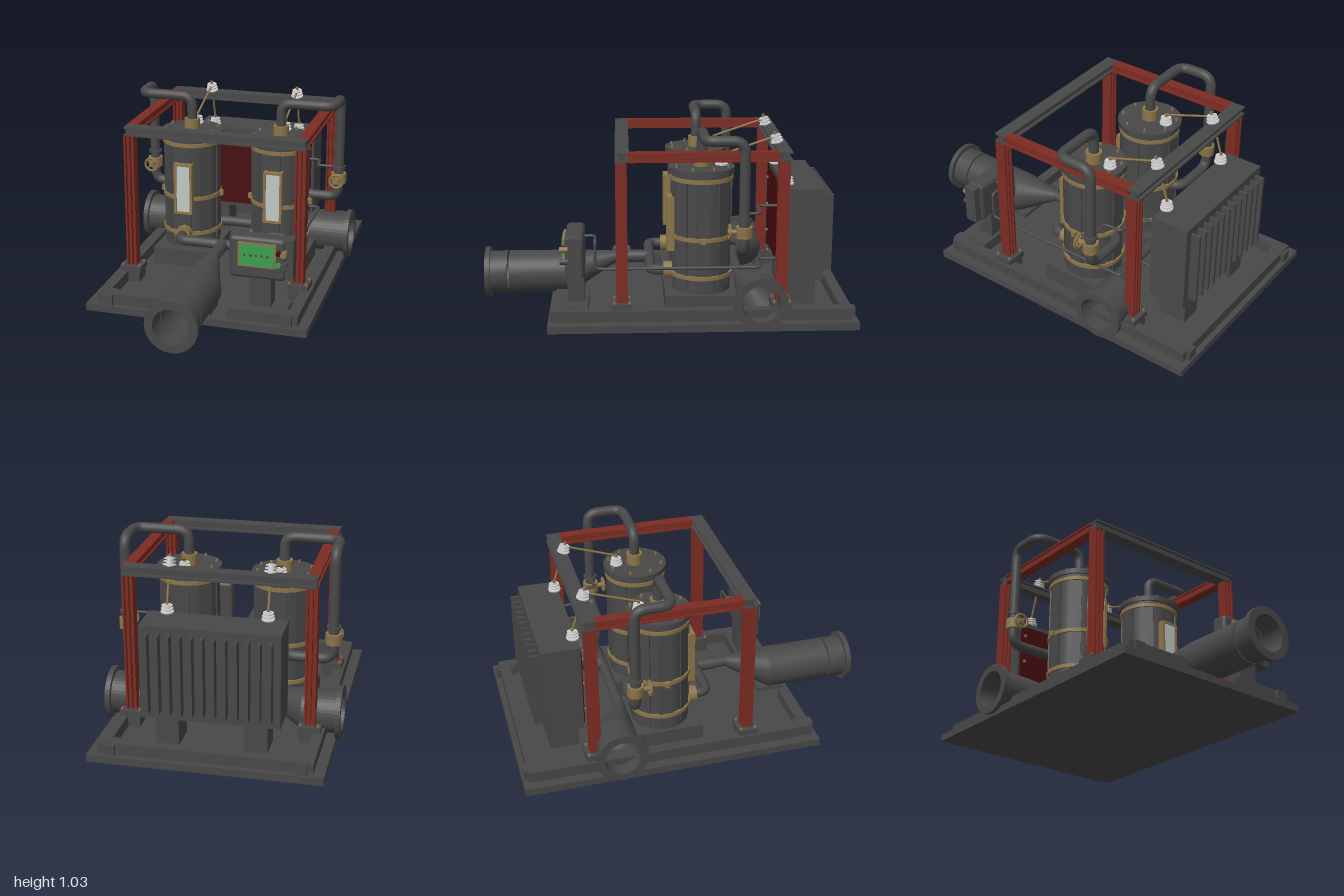
import * as THREE from 'three';
import { toCreasedNormals } from 'three/addons/utils/BufferGeometryUtils.js';
import { RoundedBoxGeometry } from 'three/addons/geometries/RoundedBoxGeometry.js';

const V = (x, y, z) => new THREE.Vector3(x, y, z);

export function createModel() {
  const root = new THREE.Group();
  root.name = 'filterSkid';
  const material = (name, color, side = THREE.FrontSide) => {
    const m = new THREE.MeshStandardMaterial({ color, side });
    m.name = name;
    return m;
  };
  const iron = material('darkIron', 0x484848, THREE.DoubleSide);
  const brass = material('brass', 0x8c7448);
  const red = material('redPaint', 0x7d2c22);
  const maroon = material('maroonPanel', 0x480d0f);
  const green = material('greenScreen', 0x3da04f);
  const glass = material('paleGlass', 0xbfc8c5);
  const white = material('porcelain', 0xcfcfcf);

  const add = (name, geo, mat, x = 0, y = 0, z = 0, parent = root) => {
    const m = new THREE.Mesh(geo, mat);
    m.name = name;
    m.position.set(x, y, z);
    parent.add(m);
    return m;
  };
  // box given by its limits
  const box = (name, mat, x0, x1, y0, y1, z0, z1, parent) =>
    add(name, new THREE.BoxGeometry(Math.abs(x1 - x0), y1 - y0, z1 - z0), mat,
      (x0 + x1) / 2, (y0 + y1) / 2, (z0 + z1) / 2, parent);
  // upright cylinder between two heights
  const cyl = (name, mat, r, y0, y1, x, z, sides = 32, parent) =>
    add(name, new THREE.CylinderGeometry(r, r, y1 - y0, sides), mat, x, (y0 + y1) / 2, z, parent);
  // cylinder along z
  const disc = (name, mat, r, z0, z1, x, y, sides = 24, parent) =>
    add(name, new THREE.CylinderGeometry(r, r, z1 - z0, sides).rotateX(Math.PI / 2), mat, x, y, (z0 + z1) / 2, parent);
  // tube along straight runs with rounded bends
  const pipe = (name, mat, pts, r, bend, parent) => {
    const path = new THREE.CurvePath();
    let from = pts[0];
    for (let i = 1; i < pts.length; i++) {
      const p = pts[i];
      if (i === pts.length - 1) { path.add(new THREE.LineCurve3(from, p)); break; }
      const a = p.clone().add(pts[i - 1].clone().sub(p).setLength(bend));
      const b = p.clone().add(pts[i + 1].clone().sub(p).setLength(bend));
      path.add(new THREE.LineCurve3(from, a));
      path.add(new THREE.QuadraticBezierCurve3(a, p, b));
      from = b;
    }
    return add(name, new THREE.TubeGeometry(path, pts.length * 24, r, 16), mat, 0, 0, 0, parent);
  };
  const lathe = (pts) => toCreasedNormals(
    new THREE.LatheGeometry(pts.map(p => new THREE.Vector2(...p)), 40), 0.5);
  // moves vertices by a rule
  const warp = (geo, rule) => {
    const p = geo.attributes.position, v = V(0, 0, 0);
    for (let i = 0; i < p.count; i++) {
      rule(v.fromBufferAttribute(p, i));
      p.setXYZ(i, v.x, v.y, v.z);
    }
    geo.computeVertexNormals();
    return geo;
  };

  // base plate with raised rim
  box('basePlate', iron, -0.605, 0.605, 0, 0.04, -1, 0.63);
  box('rearRim', iron, -0.55, 0.55, 0.04, 0.1, -0.97, -0.91);
  for (const s of [-1, 1]) {
    box('sideRim', iron, s * 0.49, s * 0.55, 0.04, 0.1, -0.91, 0.54);
    box('frontRim', iron, s * 0.17, s * 0.55, 0.04, 0.1, 0.54, 0.6);
    for (const z of [-0.94, 0.57]) box('rimCorner', iron, s * 0.46, s * 0.52, 0.04, 0.095, z - 0.05, z + 0.05);
  }

  // portal frame: H posts on pads, red side beams, dark cross beams
  for (const s of [-1, 1]) {
    for (const z of [0.24, -0.6]) {
      const post = new THREE.Group();
      post.name = 'post';
      post.position.set(s * 0.475, 0, z);
      root.add(post);
      for (const x of [-0.024, 0, 0.024])
        box('postFlange', red, x - 0.005, x + 0.005, 0.13, 0.88, -0.03, 0.03, post);
      box('postWeb', red, -0.024, 0.024, 0.13, 0.88, -0.006, 0.006, post);
      box('postPad', iron, -0.06, 0.06, 0.1, 0.13, -0.055, 0.055, post);
      box('postFoot', iron, -0.05, 0.05, 0.04, 0.1, -0.05, 0.05, post);
      for (const a of [-0.047, 0.047]) for (const b of [-0.04, 0.04])
        cyl('padBolt', brass, 0.007, 0.13, 0.14, a, b, 6, post);
    }
    for (const y of [0.88, 0.92]) box('sideBeamFlange', red, s * 0.445, s * 0.503, y, y + 0.01, -0.575, 0.205);
    box('sideBeamWeb', red, s * 0.455, s * 0.493, 0.89, 0.92, -0.575, 0.205);
  }
  for (const z of [0.235, -0.605]) {
    for (const y of [0.88, 0.92]) box('crossBeamFlange', iron, -0.5, 0.5, y, y + 0.01, z - 0.037, z + 0.037);
    box('crossBeamWeb', iron, -0.495, 0.495, 0.89, 0.92, z - 0.02, z + 0.02);
  }

  // ribbed porcelain insulator with brass tip, standing at a point
  const insulator = (x, y, z, tilt = 0) => {
    const g = new THREE.Group();
    g.name = 'insulator';
    g.position.set(x, y, z);
    g.rotation.x = tilt;
    root.add(g);
    cyl('insulatorCore', white, 0.016, 0, 0.05, 0, 0, 16, g);
    for (let i = 0; i < 3; i++) cyl('insulatorDisc', white, 0.034 - i * 0.003, 0.006 + i * 0.016, 0.013 + i * 0.016, 0, 0, 24, g);
    cyl('insulatorTip', brass, 0.008, 0.05, 0.065, 0, 0, 10, g);
  };

  for (const s of [-1, 1]) {
    // filter tank
    const tank = new THREE.Group();
    tank.name = 'tank';
    tank.position.set(s * 0.26, 0, -0.19);
    root.add(tank);
    box('tankPlinth', iron, -0.175, 0.175, 0.04, 0.14, -0.18, 0.2, tank);
    cyl('tankBody', iron, 0.156, 0.14, 0.79, 0, 0, 48, tank);
    for (let i = 0; i < 8; i++) {
      const a = i * Math.PI / 4;
      const stave = add('tankStave', new THREE.BoxGeometry(0.075, 0.6, 0.02), iron,
        Math.sin(a) * 0.149, 0.47, Math.cos(a) * 0.149, tank);
      stave.rotation.y = a;
      const b = a + Math.PI / 8;
      cyl('lidBolt', brass, 0.007, 0.81, 0.828, Math.sin(b) * 0.148, Math.cos(b) * 0.148, 6, tank);
    }
    for (const y of [0.22, 0.43, 0.745]) cyl('tankBand', brass, 0.169, y, y + 0.021, 0, 0, 48, tank);
    for (const x of [-0.173, 0.173]) box('bandClip', brass, x - 0.012, x + 0.012, 0.425, 0.455, -0.012, 0.012, tank);
    cyl('tankLid', iron, 0.165, 0.768, 0.785, 0, 0, 48, tank);
    cyl('tankLidRim', iron, 0.175, 0.782, 0.812, 0, 0, 48, tank);
    cyl('lidNozzle', brass, 0.044, 0.812, 0.872, 0, 0, 24, tank);

    // sight glass in a brass frame
    for (const x of [-0.046, 0.046]) box('glassFrameSide', brass, x - 0.007, x + 0.007, 0.355, 0.652, 0.14, 0.188, tank);
    for (const y of [0.355, 0.639]) box('glassFrameEnd', brass, -0.046, 0.046, y, y + 0.013, 0.14, 0.188, tank);
    box('glassBacking', iron, -0.04, 0.04, 0.365, 0.64, 0.13, 0.174, tank);
    box('sightGlass', glass, -0.04, 0.04, 0.367, 0.64, 0.174, 0.181, tank);

    // overhead pipe from lid, down through the valve and back into the tank
    pipe('overheadPipe', iron, [V(s * 0.26, 0.86, -0.19), V(s * 0.26, 1, -0.19), V(s * 0.557, 1, -0.19),
      V(s * 0.557, 1, -0.39), V(s * 0.557, 0.41, -0.39), V(s * 0.3, 0.41, -0.39), V(s * 0.27, 0.41, -0.31)], 0.028, 0.065);
    cyl('pipeClamp', iron, 0.038, 0.583, 0.597, s * 0.557, -0.39, 24);
    cyl('valveBody', brass, 0.045, 0.497, 0.555, s * 0.557, -0.39, 8);
    disc('valveStem', brass, 0.014, -0.37, -0.305, s * 0.557, 0.526, 12);
    const wheel = add('valveWheel', new THREE.TorusGeometry(0.038, 0.007, 8, 28), brass, s * 0.557, 0.526, -0.315);
    for (let i = 0; i < 2; i++) {
      const spoke = add('wheelSpoke', new THREE.BoxGeometry(0.074, 0.009, 0.007), brass, 0, 0, 0, wheel);
      spoke.rotation.z = Math.PI / 4 + i * Math.PI / 2;
    }

    // wide side inlet narrowing off-centre to the rear header
    const inlet = lathe([[0.028, 0.2], [0.113, 0.42], [0.115, 0.6], [0.14, 0.6], [0.14, 0.628],
      [0.1, 0.628], [0.097, 0.42], [0.015, 0.22]]);
    inlet.rotateZ(-s * Math.PI / 2);
    warp(inlet, v => {
      const k = Math.max(0, (0.42 - Math.abs(v.x)) / 0.22);
      v.y += 0.155 + k * 0.03;
      v.z += -0.48 + k * 0.08;
    });
    add('sideInlet', inlet, iron);

    // front union joining outlet pipe to tank
    disc('unionNut', brass, 0.047, -0.04, 0.015, s * 0.26, 0.235, 8);

    // insulators and brass conductors
    insulator(s * 0.26, 0.81, -0.295);
    insulator(s * 0.26, 0.93, -0.59, 0.25);
    insulator(s * 0.26, 0.7, -0.65);
    pipe('tankConductor', brass, [V(s * 0.26, 0.87, -0.295), V(s * 0.26, 0.965, -0.575)], 0.006, 0.01);
    pipe('radiatorConductor', brass, [V(s * 0.26, 0.75, -0.65), V(s * 0.26, 0.96, -0.585)], 0.006, 0.01);
  }
  pipe('rearHeader', iron, [V(-0.22, 0.185, -0.4), V(0.22, 0.185, -0.4)], 0.028, 0.01);

  // outlet: manifold, off-centre reducer, open flanged pipe with a narrow joint
  pipe('outletManifold', iron, [V(-0.26, 0.235, -0.03), V(-0.26, 0.235, 0.085), V(0.26, 0.235, 0.085), V(0.26, 0.235, -0.03)], 0.028, 0.05);
  pipe('outletStem', iron, [V(0, 0.235, 0.085), V(0, 0.235, 0.29)], 0.03, 0.01);
  disc('stemCollar', iron, 0.035, 0.1, 0.2, 0, 0.235);
  const reducer = new THREE.CylinderGeometry(0.117, 0.033, 0.25, 40, 1, true).rotateX(Math.PI / 2);
  add('outletReducer', warp(reducer, v => {
    v.y += v.z < 0 ? 0.235 : 0.153;
    v.z += 0.395;
  }), iron);
  const barrel = (name, pts) => add(name, lathe(pts).rotateX(Math.PI / 2), iron, 0, 0.153, 0);
  barrel('outletBarrel', [[0.097, 0.51], [0.117, 0.51], [0.117, 0.868], [0.097, 0.868], [0.097, 0.51]]);
  barrel('outletFlange', [[0.097, 0.877], [0.117, 0.877], [0.117, 0.972], [0.14, 0.972], [0.14, 1], [0.097, 1], [0.097, 0.877]]);
  box('outletCradle', iron, -0.08, 0.08, 0.04, 0.06, 0.45, 0.6);

  // finned radiator with maroon front panel
  box('radiatorBody', iron, -0.36, 0.36, 0.2, 0.7, -0.84, -0.63);
  box('radiatorPanel', maroon, -0.345, 0.345, 0.22, 0.67, -0.63, -0.622);
  for (let i = 0; i < 12; i++) {
    const x = -0.314 + i * 0.057;
    box('radiatorFin', iron, x - 0.008, x + 0.008, 0.245, 0.665, -0.89, -0.84);
  }
  for (const s of [-1, 1]) {
    box('radiatorLeg', iron, s * 0.17, s * 0.29, 0.04, 0.2, -0.81, -0.65);
    for (const y of [0.29, 0.45, 0.61]) disc('panelBolt', brass, 0.009, -0.625, -0.612, s * 0.32, y, 8);
  }

  // control box on its pedestal
  box('pedestalFoot', iron, 0.2, 0.48, 0.04, 0.1, 0.42, 0.54);
  box('pedestal', iron, 0.275, 0.39, 0.1, 0.26, 0.44, 0.53);
  add('controlBox', new RoundedBoxGeometry(0.3, 0.232, 0.1, 3, 0.024), iron, 0.313, 0.367, 0.487);
  box('controlSideBox', iron, 0.455, 0.503, 0.262, 0.48, 0.45, 0.52);
  box('screenBezel', brass, 0.215, 0.418, 0.325, 0.457, 0.53, 0.549);
  box('screen', green, 0.224, 0.409, 0.334, 0.448, 0.549, 0.555);
  for (let i = 0; i < 5; i++) box('screenMark', iron, 0.248 + i * 0.03, 0.26 + i * 0.03, 0.387, 0.397, 0.555, 0.558);
  disc('brassKnob', brass, 0.016, 0.52, 0.565, 0.458, 0.411);
  disc('darkKnob', iron, 0.016, 0.52, 0.565, 0.458, 0.346);
  disc('redLamp', maroon, 0.014, 0.52, 0.55, 0.43, 0.411);
  disc('greenLamp', green, 0.014, 0.52, 0.55, 0.43, 0.346);

  // cable runs
  pipe('controlCable', iron, [V(0.33, 0.45, 0.44), V(0.33, 0.45, 0.38), V(0.43, 0.45, 0.38),
    V(0.43, 0.295, 0.38), V(0.43, 0.295, -0.49), V(0.27, 0.295, -0.49), V(0.27, 0.295, -0.63)], 0.008, 0.025);
  pipe('sensorCable', iron, [V(0.55, 0.59, -0.39), V(0.43, 0.59, -0.39), V(0.43, 0.59, -0.49),
    V(0.27, 0.59, -0.49), V(0.27, 0.59, -0.63)], 0.008, 0.025);
  return root;
}
